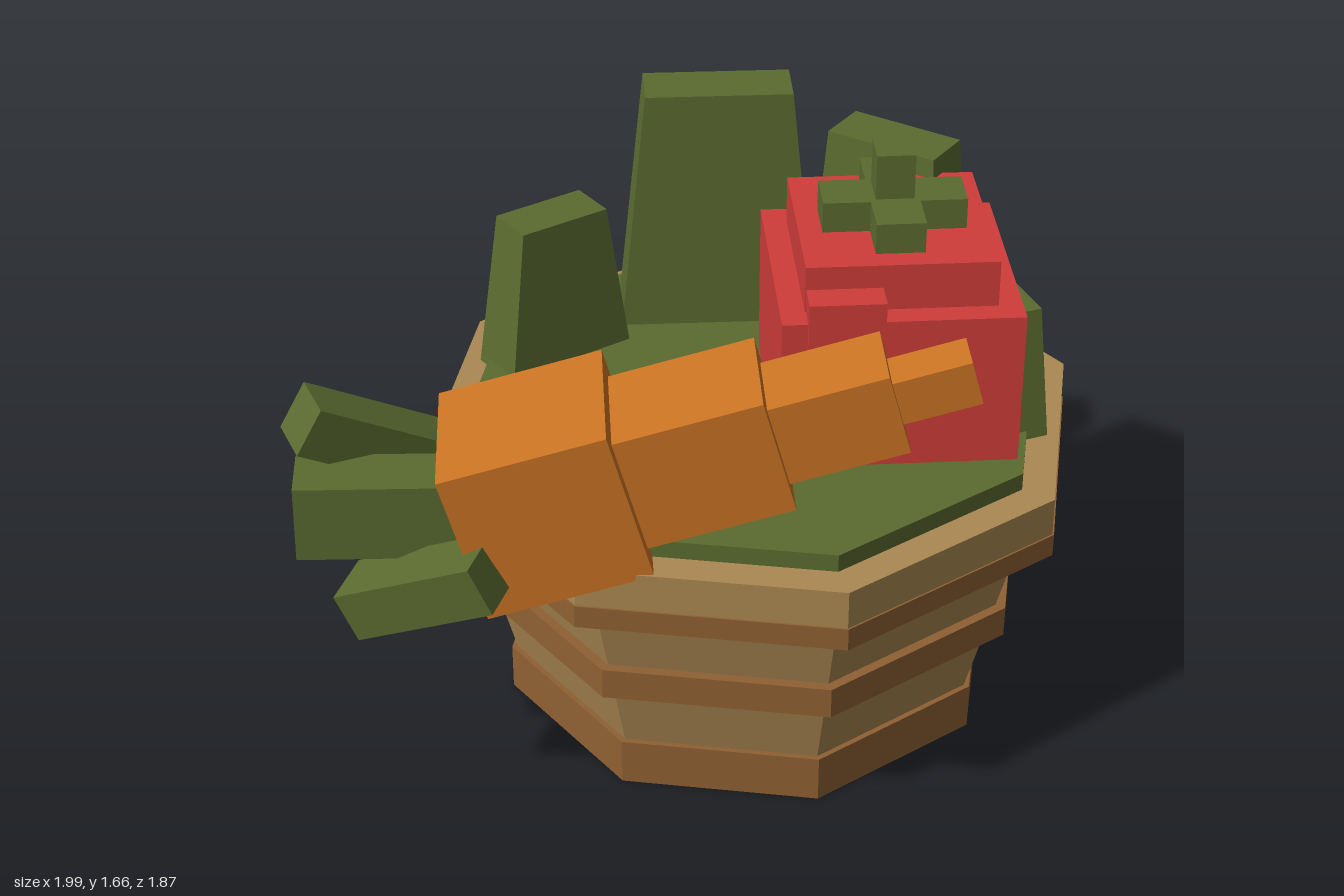
import * as THREE from 'three';

const material = (name, color) => {
  const m = new THREE.MeshStandardMaterial({ color });
  m.name = name;
  return m;
};

// Faceted normals
const flat = (geometry) => {
  const g = geometry.toNonIndexed();
  g.computeVertexNormals();
  return g;
};

// Box standing on its base, narrowing to a smaller top
function taperedBox(w, h, d, topW, topD) {
  const g = new THREE.BoxGeometry(w, h, d).translate(0, h / 2, 0);
  const p = g.attributes.position;
  for (let i = 0; i < p.count; i++) {
    if (p.getY(i) > h / 2) p.setXYZ(i, p.getX(i) * topW / w, h, p.getZ(i) * topD / d);
  }
  return flat(g);
}

export function createModel() {
  const model = new THREE.Group();
  model.name = 'vegetableBasket';

  const green = material('leaf green', 0x5b6b30);
  const orange = material('carrot orange', 0xcc7423);
  const red = material('tomato red', 0xd03d39);
  const wood = material('light wood', 0xab8852);
  const band = material('brown wood', 0x8f6033);

  const add = (parent, name, geometry, mat, x = 0, y = 0, z = 0) => {
    const mesh = new THREE.Mesh(geometry, mat);
    mesh.name = name;
    mesh.position.set(x, y, z);
    parent.add(mesh);
    return mesh;
  };

  // Basket: stacked octagonal rings, sized by distance from centre to flat side
  const basket = new THREE.Group();
  basket.name = 'basket';
  basket.position.set(0.145, 0, -0.085);
  model.add(basket);
  const k = 1 / Math.cos(Math.PI / 8);
  [
    ['bottomBand', 0, 0.135, 0.65, 0.65, band],
    ['lowerStaves', 0.135, 0.35, 0.635, 0.687, wood],
    ['middleBand', 0.35, 0.44, 0.735, 0.735, band],
    ['upperStaves', 0.44, 0.66, 0.708, 0.76, wood],
    ['rimBand', 0.66, 0.725, 0.85, 0.85, band],
    ['rim', 0.725, 0.835, 0.845, 0.845, wood],
    ['greenFilling', 0.8, 0.885, 0.757, 0.757, green],
  ].forEach(([name, y0, y1, a0, a1, mat]) => {
    const g = new THREE.CylinderGeometry(a1 * k, a0 * k, y1 - y0, 8).rotateY(Math.PI / 8);
    add(basket, name, flat(g), mat, 0, (y0 + y1) / 2, 0);
  });

  // Upright leaves: x, z, turn, top height, base width/depth, top width/depth
  [
    [-0.02, -0.545, 0.2, 1.59, 0.56, 0.207, 0.41, 0.16],
    [-0.44, -0.25, 0.75, 1.31, 0.39, 0.18, 0.27, 0.14],
    [0.48, -0.465, -0.436, 1.505, 0.42, 0.21, 0.33, 0.15],
    [0.82, -0.1, -1.05, 1.235, 0.29, 0.15, 0.2, 0.11],
  ].forEach(([x, z, turn, top, w, d, tw, td]) => {
    const y = 0.86;
    add(model, 'uprightLeaf', taperedBox(w, top - y, d, tw, td), green, x, y, z).rotation.y = turn;
  });

  // Tomato with stepped top, side bump and cross-shaped stalk
  const tomato = new THREE.Group();
  tomato.name = 'tomato';
  tomato.position.set(0.507, 0, -0.085);
  tomato.rotation.y = 0.21;
  model.add(tomato);
  [
    ['tomatoBody', 0.635, 0.87, 1.32, 0.635, 0, 0, red],
    ['tomatoTop', 0.505, 1.3, 1.45, 0.505, 0, 0, red],
    ['tomatoBump', 0.2, 1.18, 1.385, 0.1, -0.15, 0.288, red],
    ['stalkArmLong', 0.38, 1.44, 1.535, 0.13, 0, 0, green],
    ['stalkArmBack', 0.13, 1.44, 1.535, 0.125, 0, -0.1275, green],
    ['stalkArmFront', 0.13, 1.44, 1.535, 0.125, 0, 0.1275, green],
    ['stalk', 0.102, 1.52, 1.66, 0.102, 0, 0, green],
  ].forEach(([name, w, y0, y1, d, x, z, mat]) => {
    add(tomato, name, new THREE.BoxGeometry(w, y1 - y0, d), mat, x, (y0 + y1) / 2, z);
  });

  // Carrot: square segments shrinking along its axis
  const carrot = new THREE.Group();
  carrot.name = 'carrot';
  carrot.position.set(-0.515, 0.92, 0.634);
  carrot.rotation.set(0, 0.197, 0.27, 'YZX');
  model.add(carrot);
  const ends = [0, 0.44, 0.83, 1.145, 1.352];
  [0.43, 0.327, 0.23, 0.125].forEach((s, i) => {
    const length = ends[i + 1] - ends[i];
    add(carrot, 'carrotSegment', new THREE.BoxGeometry(length, s, s), orange, ends[i] + length / 2);
  });

  // Carrot leaves: centre, outward direction, up direction, length/height/width
  [
    [[-0.77, 1.045, 0.54], [-0.72, 0.5, 0.49], [0.06, 0.12, -0.03], [0.43, 0.14, 0.14]],
    [[-0.725, 0.93, 0.685], [-0.98, 0.02, 0.2], [0.016, 0.22, 0], [0.42, 0.215, 0.16]],
    [[-0.583, 0.783, 0.815], [-0.888, -0.418, -0.19], [-0.05, 0.13, 0], [0.42, 0.14, 0.16]],
  ].forEach(([c, dir, upHint, size]) => {
    const out = new THREE.Vector3(...dir).normalize();
    const side = new THREE.Vector3().crossVectors(out, new THREE.Vector3(...upHint)).normalize();
    const up = new THREE.Vector3().crossVectors(side, out);
    const leaf = add(model, 'carrotLeaf', new THREE.BoxGeometry(...size), green, ...c);
    leaf.quaternion.setFromRotationMatrix(new THREE.Matrix4().makeBasis(out, up, side));
  });

  return model;
}
